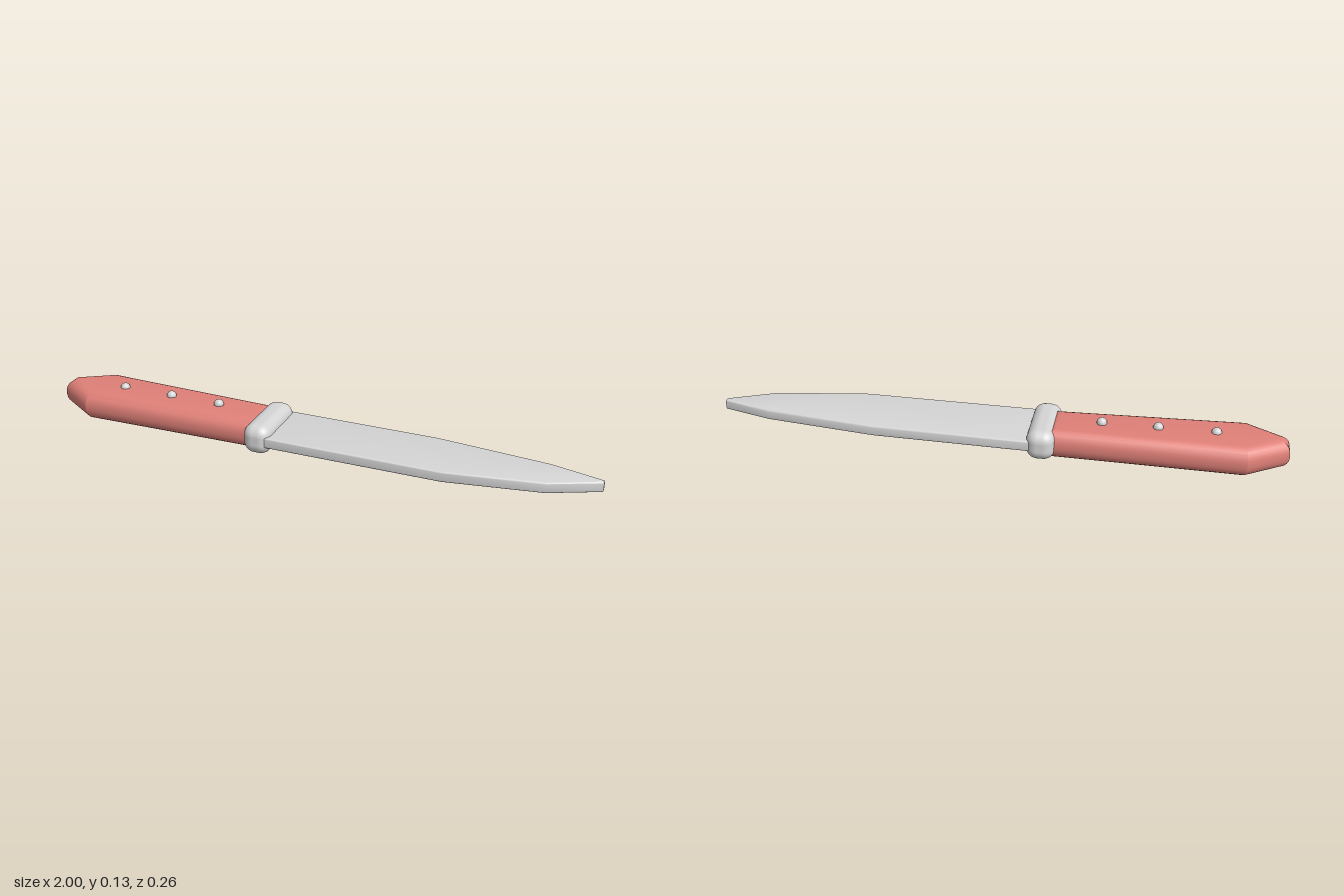
import * as THREE from 'three';
import { toCreasedNormals } from 'three/addons/utils/BufferGeometryUtils.js';
import { RoundedBoxGeometry } from 'three/addons/geometries/RoundedBoxGeometry.js';

const steel = new THREE.MeshStandardMaterial({ color: 0xd4d5d4 });
steel.name = 'steel';
const red = new THREE.MeshStandardMaterial({ color: 0xdf8078 });
red.name = 'handle red';

// Slab with rounded edges: an (x, z) outline filled between two heights
function slab(points, bottom, top, bevel, segments) {
  const shape = new THREE.Shape(points.map(([x, z]) => new THREE.Vector2(x, z)));
  const geometry = new THREE.ExtrudeGeometry(shape, {
    depth: top - bottom - 2 * bevel,
    bevelThickness: bevel,
    bevelSize: bevel,
    bevelOffset: -bevel,
    bevelSegments: segments,
  });
  geometry.rotateX(Math.PI / 2).translate(0, top - bevel, 0);
  return toCreasedNormals(geometry, 0.45);
}

function part(name, geometry, material) {
  const mesh = new THREE.Mesh(geometry, material);
  mesh.name = name;
  return mesh;
}

export function createModel() {
  const knife = new THREE.Group();
  knife.name = 'knife';

  // Handle: tapers to the guard, with a pointed, rounded butt
  const handle = slab([
    [-1, -0.036], [-0.86, -0.124], [-0.18, -0.104],
    [-0.18, 0.092], [-0.86, 0.112], [-1, 0.024],
  ], 0.006, 0.114, 0.048, 6);
  // Slight slope down towards the guard
  const pos = handle.attributes.position;
  for (let i = 0; i < pos.count; i++) {
    pos.setY(i, pos.getY(i) - 0.012 * (pos.getX(i) + 0.65));
  }
  knife.add(part('handle', handle, red));

  // Rivets along the upper face
  for (const x of [-0.755, -0.56, -0.368]) {
    const rivet = part('rivet', new THREE.SphereGeometry(0.018, 16, 12), steel);
    rivet.position.set(x, 0.114, -0.004);
    knife.add(rivet);
  }

  // Guard
  const guard = part('guard', new RoundedBoxGeometry(0.1, 0.108, 0.26, 5, 0.04), steel);
  guard.position.set(-0.17, 0.059, 0);
  knife.add(guard);

  // Blade: gently curved spine and an angled cutting edge
  const blade = slab([
    [-0.17, -0.119], [0.42, -0.11], [0.82, -0.065], [1, -0.018],
    [1, -0.003], [0.83, 0.073], [0.5, 0.126], [-0.17, 0.121],
  ], 0.038, 0.077, 0.0065, 4);
  knife.add(part('blade', blade, steel));

  return knife;
}
